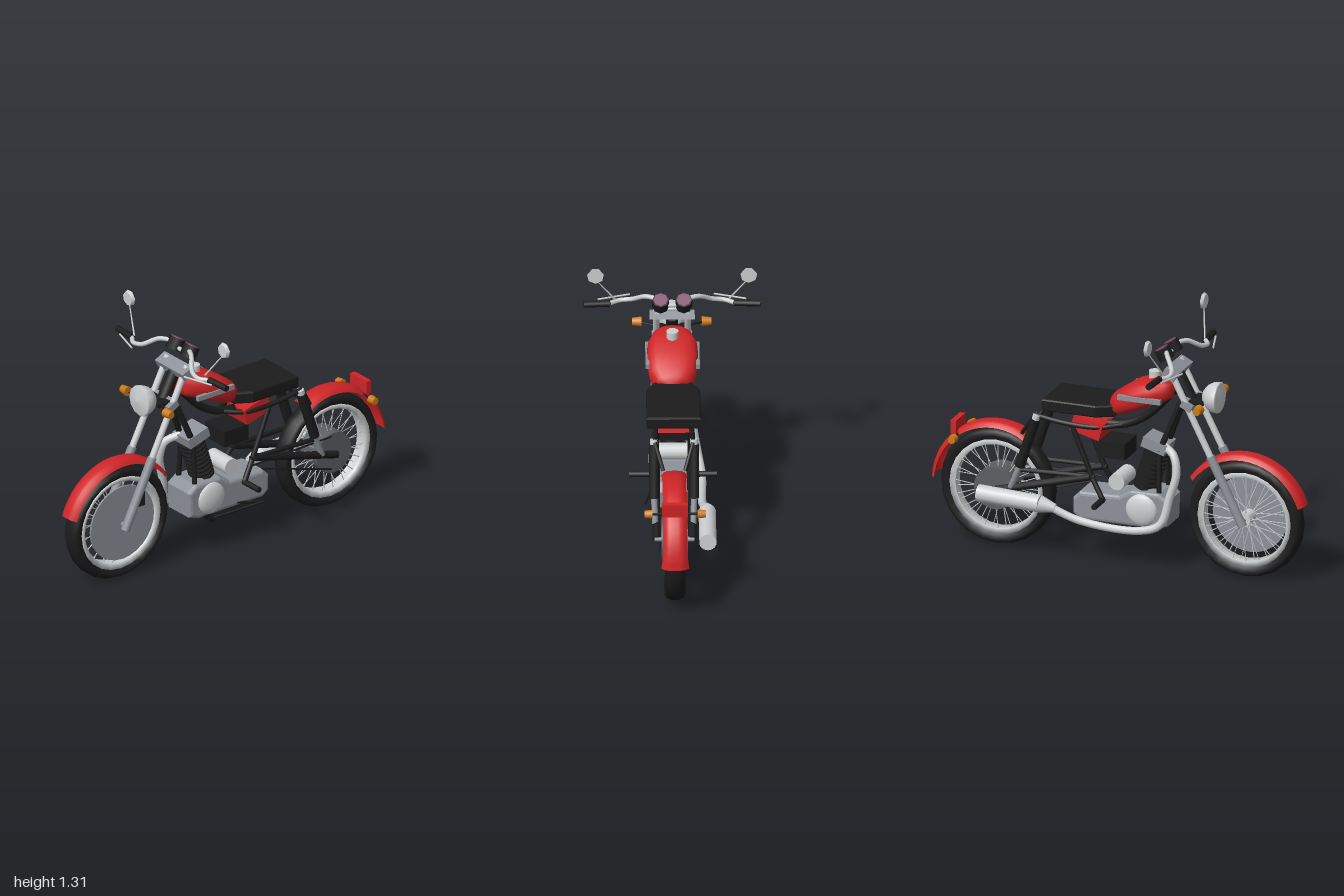
import * as THREE from 'three';
import { mergeGeometries } from 'three/addons/utils/BufferGeometryUtils.js';

const V = (x, y, z) => new THREE.Vector3(x, y, z);
const mat = (name, color, side = THREE.FrontSide) => {
  const m = new THREE.MeshStandardMaterial({ color, side });
  m.name = name;
  return m;
};

export function createModel() {
  const root = new THREE.Group();
  root.name = 'motorcycle';
  const red = mat('red paint', 0xcf2426, THREE.DoubleSide);
  const black = mat('black', 0x1c1c1c);
  const chrome = mat('chrome', 0xcdd0d2);
  const steel = mat('steel', 0x8d9299);
  const dark = mat('dark steel', 0x5c5f63);
  const amber = mat('amber', 0xcc7a14);
  const plum = mat('gauge face', 0x7c4a68);

  const add = (name, geo, m, parent = root) => {
    const mesh = new THREE.Mesh(geo, m);
    mesh.name = name;
    parent.add(mesh);
    return mesh;
  };
  const box = (name, m, w, h, d, x, y, z, tilt = 0) => {
    const b = add(name, new THREE.BoxGeometry(w, h, d), m);
    b.position.set(x, y, z);
    b.rotation.x = tilt;
    return b;
  };
  // cylinder between two points; r2 is the radius at the far end
  const rodGeo = (a, b, r, r2 = r, seg = 10) => {
    const g = new THREE.CylinderGeometry(r2, r, a.distanceTo(b), seg);
    const dir = b.clone().sub(a).normalize();
    g.applyQuaternion(new THREE.Quaternion().setFromUnitVectors(V(0, 1, 0), dir));
    const c = a.clone().add(b).multiplyScalar(0.5);
    return g.translate(c.x, c.y, c.z);
  };
  const rod = (name, m, a, b, r, r2 = r, seg = 10) => add(name, rodGeo(a, b, r, r2, seg), m);
  const tube = (name, m, pts, r, steps = 24) =>
    add(name, new THREE.TubeGeometry(new THREE.CatmullRomCurve3(pts), steps, r, 8), m);
  // side outline given as [z, y], extruded across x
  const sidePlate = (name, m, pts, width, bevel, x = 0) => {
    const s = new THREE.Shape(pts.map(p => new THREE.Vector2(p[0], p[1])));
    const g = new THREE.ExtrudeGeometry(s, { depth: width - 2 * bevel, bevelSize: bevel, bevelThickness: bevel, bevelSegments: 3 });
    g.translate(0, 0, -width / 2 + bevel).rotateY(-Math.PI / 2).translate(x, 0, 0);
    return add(name, g, m);
  };
  const wheelLathe = pts =>
    new THREE.LatheGeometry(pts.map(p => new THREE.Vector2(p[0], p[1])), 24).rotateZ(-Math.PI / 2);

  // wheels with tyre, rim, hub and crossed spokes
  const wheel = (name, z) => {
    const g = new THREE.Group();
    g.name = name;
    g.position.set(0, 0.31, z);
    root.add(g);
    add('tyre', wheelLathe([[0.245, -0.036], [0.272, -0.052], [0.292, -0.042], [0.303, -0.018], [0.303, 0.018],
      [0.292, 0.042], [0.272, 0.052], [0.245, 0.036], [0.245, -0.036]]), black, g);
    add('rim', wheelLathe([[0.222, -0.03], [0.25, -0.04], [0.25, 0.04], [0.222, 0.03], [0.23, 0], [0.222, -0.03]]), chrome, g);
    add('hub', rodGeo(V(-0.045, 0, 0), V(0.045, 0, 0), 0.035, 0.035, 14), chrome, g);
    add('axle', rodGeo(V(-0.1, 0, 0), V(0.1, 0, 0), 0.012), steel, g);
    const spokes = [];
    for (let i = 0; i < 40; i++) {
      const a = i / 40 * Math.PI * 2, b = a + (i % 4 < 2 ? 0.35 : -0.35), s = i % 2 ? 1 : -1;
      spokes.push(rodGeo(V(s * 0.038, Math.sin(b) * 0.03, Math.cos(b) * 0.03),
        V(s * 0.012, Math.sin(a) * 0.228, Math.cos(a) * 0.228), 0.0025, 0.0025, 4));
    }
    add('spokes', mergeGeometries(spokes), chrome, g);
    return g;
  };
  const front = wheel('frontWheel', 0.684), rear = wheel('rearWheel', -0.645);
  add('brakeDisc', rodGeo(V(0.04, 0.005, 0), V(0.05, 0.005, 0), 0.2, 0.2, 28), steel, front);
  add('brakeDrum', rodGeo(V(-0.065, 0, 0), V(0.065, 0, 0), 0.11, 0.11, 20), dark, rear);
  box('caliper', black, 0.03, 0.075, 0.045, 0.07, 0.43, 0.59);

  // arched mudguards; angles run from the front (+z) over the top
  const mudguard = (name, z, from, to, w, flare) => {
    const g = new THREE.PlaneGeometry(2, 1, 8, 18), p = g.attributes.position;
    for (let i = 0; i < p.count; i++) {
      const u = p.getX(i), v = p.getY(i) + 0.5;
      const a = THREE.MathUtils.degToRad(from + (to - from) * v);
      const r = 0.343 - 0.026 * u ** 4;
      p.setXYZ(i, u * (w + flare * Math.abs(2 * v - 1) ** 6), 0.31 + r * Math.sin(a), z + r * Math.cos(a));
    }
    g.computeVertexNormals();
    add(name, g, red);
  };
  mudguard('frontMudguard', 0.676, 18, 146, 0.056, 0);
  mudguard('rearMudguard', -0.65, 60, 177, 0.06, 0.01);
  box('tailLight', red, 0.13, 0.07, 0.03, 0, 0.605, -0.865);

  // fuel tank lofted through rounded sections: z, bottom, top, half width
  const secs = [[0.3, 0.905, 0.995, 0.07], [0.27, 0.885, 1.003, 0.098], [0.2, 0.855, 0.998, 0.125], [0.1, 0.81, 0.965, 0.13],
    [0.03, 0.785, 0.92, 0.115], [-0.02, 0.78, 0.885, 0.08]];
  const N = 20, pos = [], idx = [];
  const ring = (z, lo, hi, w) => {
    for (let i = 0; i < N; i++) {
      const a = i / N * Math.PI * 2, c = Math.cos(a), s = Math.sin(a);
      pos.push(w * Math.sign(c) * Math.abs(c) ** 0.75, (lo + hi) / 2 + (hi - lo) / 2 * Math.sign(s) * Math.abs(s) ** 0.75, z);
    }
  };
  const first = secs[0], last = secs[secs.length - 1];
  ring(first[0], 0.95, 0.95, 0);
  secs.forEach(s => ring(...s));
  ring(last[0] - 0.01, 0.83, 0.83, 0);
  for (let j = 0; j < secs.length + 1; j++) for (let i = 0; i < N; i++) {
    const a = j * N + i, b = j * N + (i + 1) % N;
    idx.push(a, a + N, b, b, a + N, b + N);
  }
  const tank = new THREE.BufferGeometry();
  tank.setAttribute('position', new THREE.Float32BufferAttribute(pos, 3));
  tank.setIndex(idx);
  tank.computeVertexNormals();
  add('fuelTank', tank, red);
  rod('fillerCap', chrome, V(0, 0.98, 0.19), V(0, 1.025, 0.19), 0.03, 0.03, 14);
  for (const s of [-1, 1]) box('tankStrip', steel, 0.02, 0.025, 0.23, s * 0.125, 0.905, 0.155);

  // seat, side box and battery
  const outline = [[-0.08, 0], [0.08, 0], [0.125, 0.08], [0.125, 0.355], [-0.125, 0.355], [-0.125, 0.08]];
  const seat = new THREE.ExtrudeGeometry(new THREE.Shape(outline.map(p => new THREE.Vector2(...p))),
    { depth: 0.045, bevelSize: 0.01, bevelThickness: 0.01, bevelSegments: 2 });
  add('seat', seat.rotateX(-Math.PI / 2).translate(0, 0.79, 0), black);
  box('sideBox', red, 0.17, 0.085, 0.16, 0, 0.703, -0.145, 0.27);
  box('battery', black, 0.16, 0.085, 0.15, 0, 0.598, -0.015);

  // engine
  sidePlate('crankcase', steel, [[0.27, 0.25], [0.275, 0.36], [0.24, 0.385], [0.1, 0.385], [0.04, 0.35], [-0.17, 0.345],
    [-0.195, 0.32], [-0.195, 0.255], [-0.17, 0.235], [0.23, 0.235]], 0.19, 0.02);
  for (const s of [-1, 1]) {
    const cover = add('engineCover', new THREE.SphereGeometry(0.085, 18, 12), chrome);
    cover.scale.x = 0.35;
    cover.position.set(s * 0.09, 0.31, 0.155);
  }
  rod('carburettor', chrome, V(-0.08, 0.435, 0.015), V(0.08, 0.435, 0.015), 0.043, 0.043, 14);
  const lean = t => V(0, 0.38 + 0.24 * t, 0.135 + 0.075 * t);
  rod('barrel', black, lean(0), lean(1), 0.048, 0.048, 14);
  for (let i = 0; i < 9; i++) rod('coolingFin', black, lean(0.1 + i * 0.1), lean(0.14 + i * 0.1), 0.066, 0.066, 16);
  box('cylinderHead', steel, 0.13, 0.055, 0.13, 0, 0.645, 0.208, 0.3);
  tube('exhaustPipe', chrome, [V(-0.03, 0.645, 0.25), V(-0.07, 0.61, 0.32), V(-0.09, 0.52, 0.34), V(-0.105, 0.4, 0.31),
    V(-0.13, 0.26, 0.27), V(-0.145, 0.22, 0.17), V(-0.145, 0.23, -0.15), V(-0.165, 0.295, -0.32)], 0.021, 40);
  rod('mufflerCone', chrome, V(-0.162, 0.285, -0.28), V(-0.166, 0.3, -0.36), 0.022, 0.044, 14);
  rod('muffler', chrome, V(-0.166, 0.3, -0.36), V(-0.166, 0.315, -0.69), 0.044, 0.044, 14);

  // frame spine and steering head
  tube('spine', black, [V(0, 0.94, 0.3), V(0, 0.86, 0.23), V(0, 0.775, 0.14), V(0, 0.72, 0.03), V(0, 0.71, -0.06)], 0.02);
  rod('steeringHead', black, V(0, 0.87, 0.4), V(0, 1.04, 0.31), 0.032);
  rod('chain', black, V(0.075, 0.365, -0.18), V(0.075, 0.23, -0.62), 0.005, 0.005, 5);
  rod('chain', black, V(0.075, 0.4, -0.12), V(0.075, 0.41, -0.62), 0.005, 0.005, 5);
  rod('sideStand', black, V(0.08, 0.25, 0.05), V(0.11, 0.2, -0.16), 0.007);
  rod('brakePedal', black, V(0.08, 0.19, 0.17), V(0.14, 0.22, -0.14), 0.007);

  // fork direction, used by everything on the steering
  const fork = (x, t) => V(x, 0.29 + 0.79 * t, 0.695 - 0.4 * t);
  for (const s of [-1, 1]) {
    rod('forkLower', steel, fork(s * 0.085, 0), fork(s * 0.08, 0.44), 0.023);
    rod('forkUpper', chrome, fork(s * 0.08, 0.42), fork(s * 0.078, 1), 0.017);
    // frame tubes
    rod('downTube', black, V(s * 0.018, 0.94, 0.36), V(s * 0.05, 0.62, 0.235), 0.016);
    rod('cradleTube', black, V(s * 0.05, 0.62, 0.235), V(s * 0.075, 0.24, 0.24), 0.013);
    rod('cradleFoot', black, V(s * 0.075, 0.24, 0.2), V(s * 0.075, 0.18, 0.13), 0.018);
    tube('seatRail', black, [V(s * 0.02, 0.72, 0.02), V(s * 0.075, 0.71, -0.08), V(s * 0.09, 0.715, -0.25), V(s * 0.095, 0.74, -0.42)], 0.013);
    rod('seatStay', black, V(s * 0.085, 0.71, -0.22), V(s * 0.085, 0.44, -0.11), 0.014);
    rod('pegStay', black, V(s * 0.085, 0.44, -0.11), V(s * 0.1, 0.34, -0.05), 0.014);
    rod('frameStay', black, V(s * 0.085, 0.45, -0.1), V(s * 0.095, 0.44, -0.5), 0.012);
    rod('swingArm', black, V(s * 0.085, 0.45, -0.12), V(s * 0.09, 0.31, -0.645), 0.02);
    rod('shockAbsorber', black, V(s * 0.1, 0.72, -0.41), V(s * 0.1, 0.46, -0.495), 0.026);
    rod('shockRod', steel, V(s * 0.1, 0.47, -0.49), V(s * 0.095, 0.34, -0.545), 0.016);
    rod('shockCap', chrome, V(s * 0.1, 0.71, -0.413), V(s * 0.1, 0.745, -0.402), 0.02);
    rod('mudguardStay', black, V(s * 0.095, 0.735, -0.42), V(s * 0.055, 0.62, -0.5), 0.01);
    rod('footPeg', black, V(s * 0.09, 0.34, -0.05), V(s * 0.22, 0.34, -0.05), 0.015, 0.015, 8);

    // handlebar controls, mirrors, gauges
    rod('grip', black, V(s * 0.31, 1.1, 0.337), V(s * 0.44, 1.1, 0.33), 0.017);
    rod('lever', chrome, V(s * 0.37, 1.105, 0.37), V(s * 0.21, 1.105, 0.42), 0.005, 0.005, 6);
    rod('mirrorStem', chrome, V(s * 0.285, 1.12, 0.345), V(s * 0.375, 1.25, 0.305), 0.005, 0.003, 6);
    const mirror = rod('mirror', chrome, V(0, 0, -0.008), V(0, 0, 0.008), 0.043, 0.036, 7);
    mirror.position.set(s * 0.382, 1.28, 0.305);
    rod('gauge', black, V(s * 0.058, 1.115, 0.28), V(s * 0.058, 1.168, 0.25), 0.042, 0.042, 8);
    rod('gaugeFace', plum, V(s * 0.058, 1.168, 0.25), V(s * 0.058, 1.172, 0.2475), 0.036, 0.036, 8);

    // turn signals
    rod('frontSignalStem', black, V(s * 0.07, 0.905, 0.45), V(s * 0.16, 0.905, 0.49), 0.006, 0.006, 6);
    rod('frontSignal', amber, V(s * 0.15, 0.907, 0.49), V(s * 0.198, 0.907, 0.49), 0.026, 0.02, 8);
    rod('rearSignalStem', black, V(s * 0.04, 0.57, -0.845), V(s * 0.13, 0.567, -0.84), 0.006, 0.006, 6);
    rod('rearSignal', amber, V(s * 0.113, 0.567, -0.84), V(s * 0.153, 0.567, -0.84), 0.023, 0.019, 8);
  }
  box('topClamp', steel, 0.225, 0.045, 0.07, 0, 1.05, 0.31, 0.47);
  box('lowerClamp', steel, 0.2, 0.035, 0.06, 0, 0.89, 0.395, 0.47);
  const bar = [[0.31, 1.1, 0.34], [0.26, 1.1, 0.37], [0.2, 1.112, 0.36], [0.13, 1.155, 0.31], [0.07, 1.155, 0.28], [0.02, 1.13, 0.27]];
  const half = s => bar.map(p => V(s * p[0], p[1], p[2]));
  tube('handlebar', chrome, [...half(-1), ...half(1).reverse()], 0.012, 48);

  // headlight
  const lamp = [[0, -0.06], [0.035, -0.052], [0.062, -0.03], [0.078, 0], [0.081, 0.028], [0.075, 0.034], [0, 0.045]];
  const lampGeo = new THREE.LatheGeometry(lamp.map(p => new THREE.Vector2(...p)), 12).rotateX(Math.PI / 2);
  add('headlight', lampGeo, chrome).position.set(0, 0.925, 0.508);
  box('headlightBracket', black, 0.14, 0.02, 0.08, 0, 0.9, 0.43);

  return root;
}
